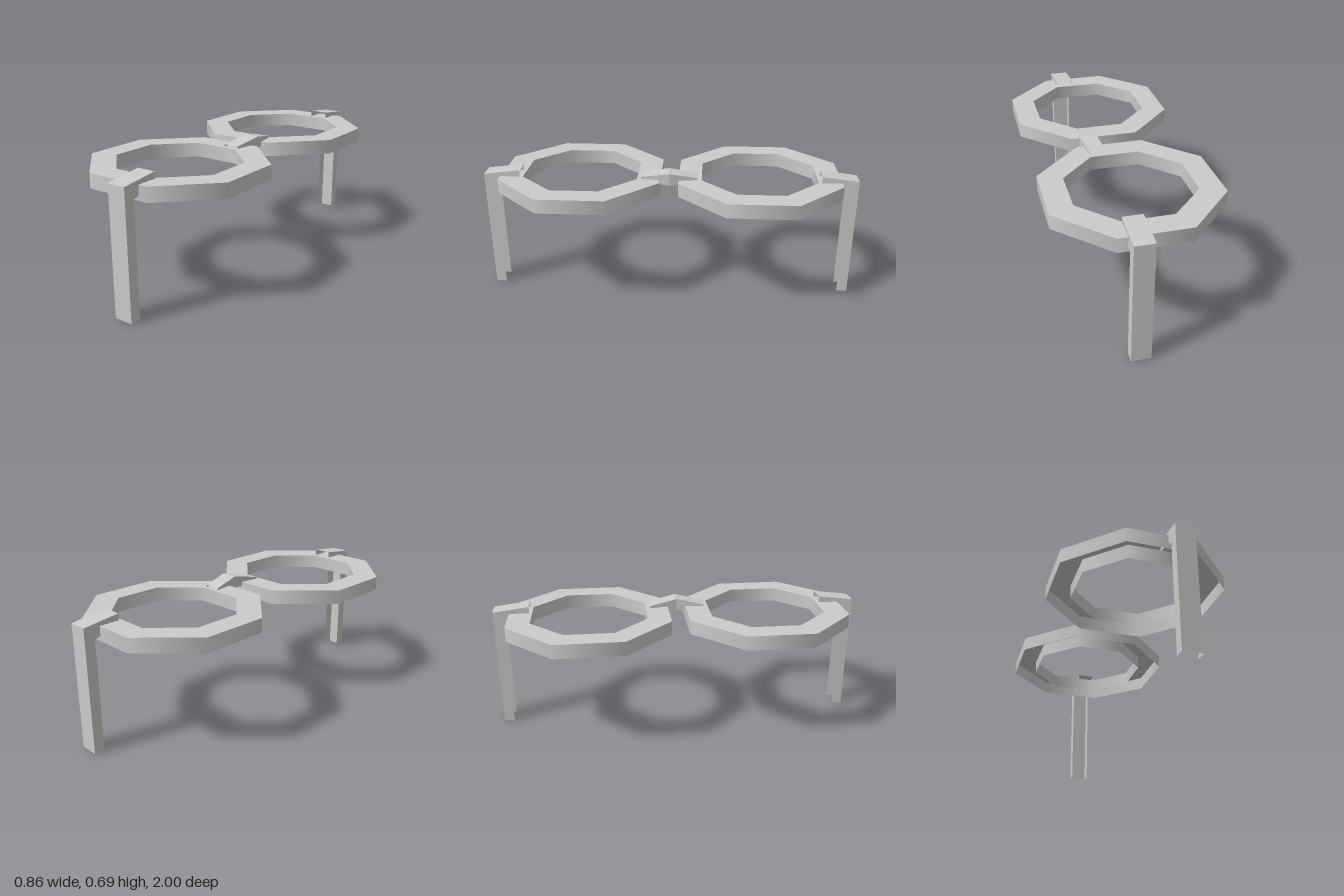
import * as THREE from 'three';

const flat = new THREE.MeshStandardMaterial({ color: 0xcccccc, flatShading: true, side: THREE.DoubleSide });
const smooth = new THREE.MeshStandardMaterial({ color: 0xcccccc, side: THREE.DoubleSide });

// Open U-channel: each station gives the two x edges, the outer (z, y) and the inner flange edge (z, y)
function channel(stations) {
  const pos = [], idx = [];
  for (const { x, outer, inner } of stations) {
    pos.push(x[0], inner[1], inner[0], x[0], outer[1], outer[0]);
    pos.push(x[1], outer[1], outer[0], x[1], inner[1], inner[0]);
  }
  for (let s = 0; s < stations.length - 1; s++) {
    for (let k = 0; k < 3; k++) {
      const a = s * 4 + k, b = a + 1, c = a + 4, d = a + 5;
      idx.push(a, b, d, a, d, c);
    }
  }
  const g = new THREE.BufferGeometry();
  g.setAttribute('position', new THREE.Float32BufferAttribute(pos, 3));
  g.setIndex(idx);
  g.computeVertexNormals();
  return g;
}

// Octagonal rim, hollow and open underneath
function createRim() {
  const rim = new THREE.Group();
  const top = 0.65, height = 0.076, turn = Math.PI / 8;
  const outer = 0.432 / Math.cos(turn), inner = 0.308 / Math.cos(turn);
  const add = (name, geometry, material) => {
    const m = new THREE.Mesh(geometry, material);
    m.name = name;
    rim.add(m);
  };
  const wall = (r) => new THREE.CylinderGeometry(r, r, height, 8, 1, true)
    .rotateY(turn).translate(0, top - height / 2, 0);
  add('outerWall', wall(outer), smooth);
  add('innerWall', wall(inner), smooth);
  add('rimTop', new THREE.RingGeometry(inner, outer, 8, 1, turn).rotateX(-Math.PI / 2).translate(0, top, 0), flat);
  return rim;
}

export function createModel() {
  const model = new THREE.Group();
  model.name = 'eyeglasses';

  for (const s of [1, -1]) {
    const side = s > 0 ? 'front' : 'back';
    const rim = createRim();
    rim.name = side + 'Rim';
    rim.position.z = s * 0.481;
    model.add(rim);

    // Temple arm with the hinge clip folded over the rim
    const x = [0.03, 0.13];
    const arm = new THREE.Mesh(channel([
      { x, outer: [s, 0], inner: [s * 0.944, 0] },
      { x, outer: [s, 0.661], inner: [s * 0.944, 0.59] },
      { x, outer: [s * 0.805, 0.685], inner: [s * 0.805, 0.632] },
    ]), flat);
    arm.name = side + 'TempleArm';
    model.add(arm);
  }

  // Bridge, bent upward and sideways at its middle
  const end = (z) => ({ x: [0.037, 0.123], outer: [z, 0.661], inner: [z, 0.63] });
  const bridge = new THREE.Mesh(channel([
    end(0.15),
    { x: [0.06, 0.15], outer: [0, 0.69], inner: [0, 0.625] },
    end(-0.15),
  ]), flat);
  bridge.name = 'bridge';
  model.add(bridge);

  return model;
}
